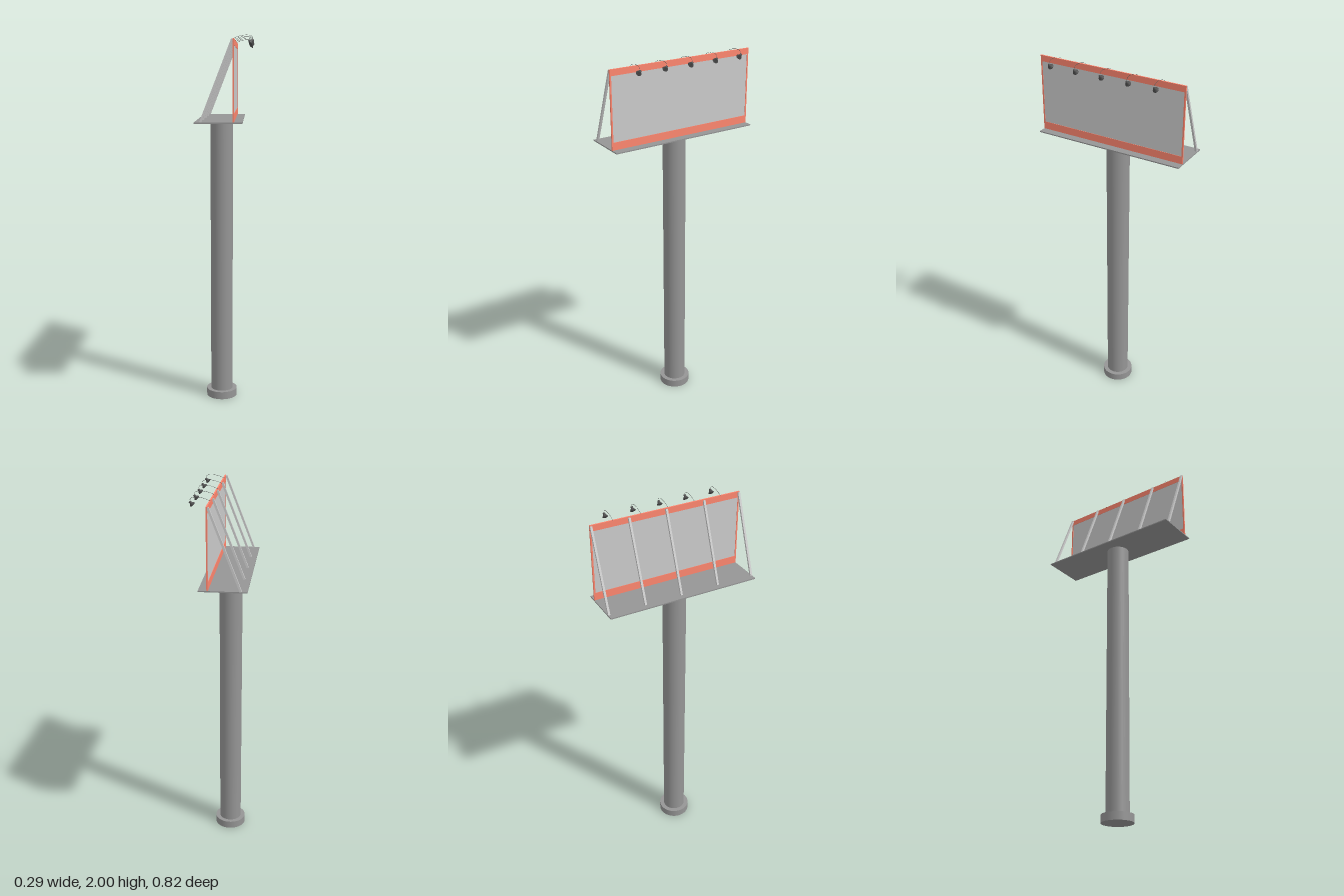
import * as THREE from 'three';

const paint = (color) => new THREE.MeshStandardMaterial({ color });
const grey = paint(0xcccccc);
const steel = paint(0x959595);
const dark = paint(0x505050);
const red = paint(0xff8770);

const CX = -0.0275;     // axis of the post and platform
const DECK = 1.577;     // top of the platform
const TOP = 1.98;       // top of the sign
const HALF = 0.41;      // half length of the sign
const SIGN_X = 0.0465;  // middle plane of the sign
const WINDOW = { half: 0.402, bottom: 1.617, top: 1.948 };

function add(parent, name, geometry, material, x = 0, y = 0, z = 0) {
  const mesh = new THREE.Mesh(geometry, material);
  mesh.name = name;
  mesh.position.set(x, y, z);
  parent.add(mesh);
  return mesh;
}

// Frame outline with a window, extruded through its thickness and turned to face +x
function frameGeometry(depth) {
  const { half, bottom, top } = WINDOW;
  const shape = new THREE.Shape([
    new THREE.Vector2(-HALF, DECK), new THREE.Vector2(HALF, DECK),
    new THREE.Vector2(HALF, TOP), new THREE.Vector2(-HALF, TOP),
  ]);
  shape.holes.push(new THREE.Path([
    new THREE.Vector2(-half, bottom), new THREE.Vector2(-half, top),
    new THREE.Vector2(half, top), new THREE.Vector2(half, bottom),
  ]));
  return new THREE.ExtrudeGeometry(shape, { depth, bevelEnabled: false })
    .translate(0, 0, -depth / 2).rotateY(Math.PI / 2);
}

// Thin curved arm with a tilted conical head aimed back at the sign
function makeLamp() {
  const lamp = new THREE.Group();
  lamp.name = 'lamp';
  const arm = new THREE.CatmullRomCurve3([
    [0.04, 1.982], [0.06, 1.99], [0.085, 1.997], [0.115, 1.999], [0.134, 1.994], [0.14, 1.984],
  ].map(([x, y]) => new THREE.Vector3(x, y, 0)));
  add(lamp, 'lampArm', new THREE.TubeGeometry(arm, 24, 0.0008, 6), dark);

  const profile = [[0, -0.002], [0.008, -0.001], [0.0145, 0.002], [0.0135, 0.005], [0.0065, 0.014],
    [0.006, 0.023], [0, 0.024]].map(([r, y]) => new THREE.Vector2(r, y));
  const head = add(lamp, 'lampHead', new THREE.LatheGeometry(profile, 20), dark, 0.125, 1.962, 0);
  head.rotation.z = -Math.PI / 4;
  return lamp;
}

export function createModel() {
  const model = new THREE.Group();
  model.name = 'billboard';

  // Post on a round foot
  add(model, 'foot', new THREE.CylinderGeometry(0.085, 0.085, 0.042, 48), steel, CX, 0.021, 0);
  add(model, 'post', new THREE.CylinderGeometry(0.061, 0.061, 1.53, 48), steel, CX, 0.807, 0);

  // Platform
  add(model, 'platform', new THREE.BoxGeometry(0.239, 0.006, HALF * 2), steel, CX, DECK - 0.003, 0);

  // Sign with its panel set back from the frame on both faces
  add(model, 'signFrame', frameGeometry(0.007), red, SIGN_X, 0, 0);
  add(model, 'signPanel', new THREE.BoxGeometry(0.003, WINDOW.top - WINDOW.bottom, WINDOW.half * 2),
    grey, SIGN_X, (WINDOW.top + WINDOW.bottom) / 2, 0);

  // Sloping struts behind the sign
  const foot = new THREE.Vector2(-0.115, DECK);
  const head = new THREE.Vector2(0.041, TOP - 0.004);
  const run = head.clone().sub(foot);
  for (const z of [-0.4045, -0.207, -0.007, 0.203, 0.4045]) {
    const strut = add(model, 'strut', new THREE.BoxGeometry(0.011, run.length(), 0.011), grey,
      (foot.x + head.x) / 2, (foot.y + head.y) / 2, z);
    strut.rotation.z = run.angle() - Math.PI / 2;
  }

  // Row of lamps along the top edge
  for (let i = -2; i <= 2; i++) {
    const lamp = makeLamp();
    lamp.position.z = 0.002 + i * 0.147;
    model.add(lamp);
  }
  return model;
}
